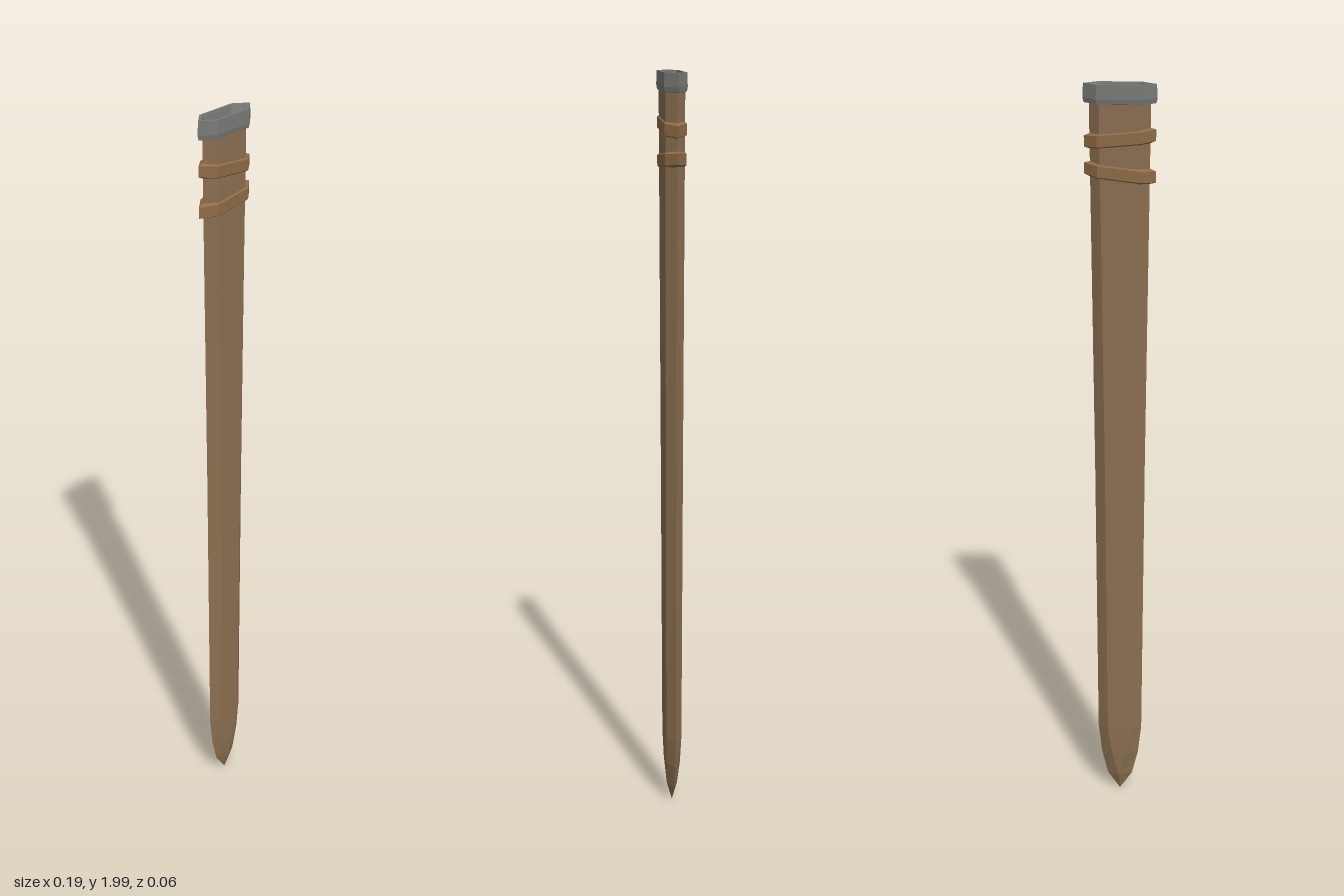
import * as THREE from 'three';

const material = (name, color) => new THREE.MeshStandardMaterial({ name, color, flatShading: true });

// Lofts flattened hexagon rings [y, halfWidth, halfFlat, halfDepth]; tilt slants them along x
function hexLoft(name, mat, rings, tilt = 0) {
  const loops = rings.map(([y, w, f, d]) =>
    [[w, 0], [f, d], [-f, d], [-w, 0], [-f, -d], [f, -d]]
      .map(([x, z]) => new THREE.Vector3(x, y + tilt * x, z)));
  const points = [];
  const addTriangle = (a, b, c) => {
    if (new THREE.Triangle(a, b, c).getArea() > 1e-9) points.push(a, b, c);
  };
  for (let r = 0; r < loops.length - 1; r++) {
    const lower = loops[r], upper = loops[r + 1];
    for (let i = 0; i < 6; i++) {
      const j = (i + 1) % 6;
      addTriangle(lower[j], lower[i], upper[i]);
      addTriangle(lower[j], upper[i], upper[j]);
    }
  }
  const geometry = new THREE.BufferGeometry().setFromPoints(points);
  geometry.computeVertexNormals();
  const mesh = new THREE.Mesh(geometry, mat);
  mesh.name = name;
  return mesh;
}

export function createModel() {
  const leather = material('leather', 0x8b6f51);
  const strapLeather = material('strapLeather', 0x8f6c47);
  const steel = material('steel', 0x777a77);
  const model = new THREE.Group();
  model.name = 'scabbard';

  // Tapering sheath with a ridged point
  model.add(hexLoft('sheath', leather, [
    [0.01, 0, 0, 0],
    [0.06, 0.034, 0.002, 0.014],
    [0.13, 0.051, 0.02, 0.019],
    [0.21, 0.06, 0.032, 0.021],
    [1.0, 0.066, 0.038, 0.023],
    [1.96, 0.077, 0.05, 0.025],
  ]));

  // Hollow interior closing towards the point
  model.add(hexLoft('sheathLining', leather, [
    [1.95, 0.06, 0.037, 0.018],
    [0.21, 0.046, 0.024, 0.014],
    [0.05, 0, 0, 0],
  ]));

  // Metal throat: outer wall, rim and sloping inner wall
  model.add(hexLoft('throatCollar', steel, [
    [1.95, 0.07, 0.045, 0.02],
    [1.953, 0.09, 0.056, 0.028],
    [1.965, 0.093, 0.057, 0.03],
    [2.0, 0.091, 0.056, 0.029],
    [2.0, 0.079, 0.05, 0.023],
    [1.95, 0.06, 0.037, 0.018],
  ]));

  // Two bevelled straps slanting opposite ways
  for (const [name, y, tilt] of [['upperStrap', 1.866, -0.1], ['lowerStrap', 1.78, 0.11]]) {
    model.add(hexLoft(name, strapLeather, [
      [y - 0.021, 0.07, 0.045, 0.021],
      [y - 0.014, 0.09, 0.055, 0.028],
      [y + 0.014, 0.09, 0.055, 0.028],
      [y + 0.021, 0.07, 0.045, 0.021],
    ], tilt));
  }
  return model;
}
